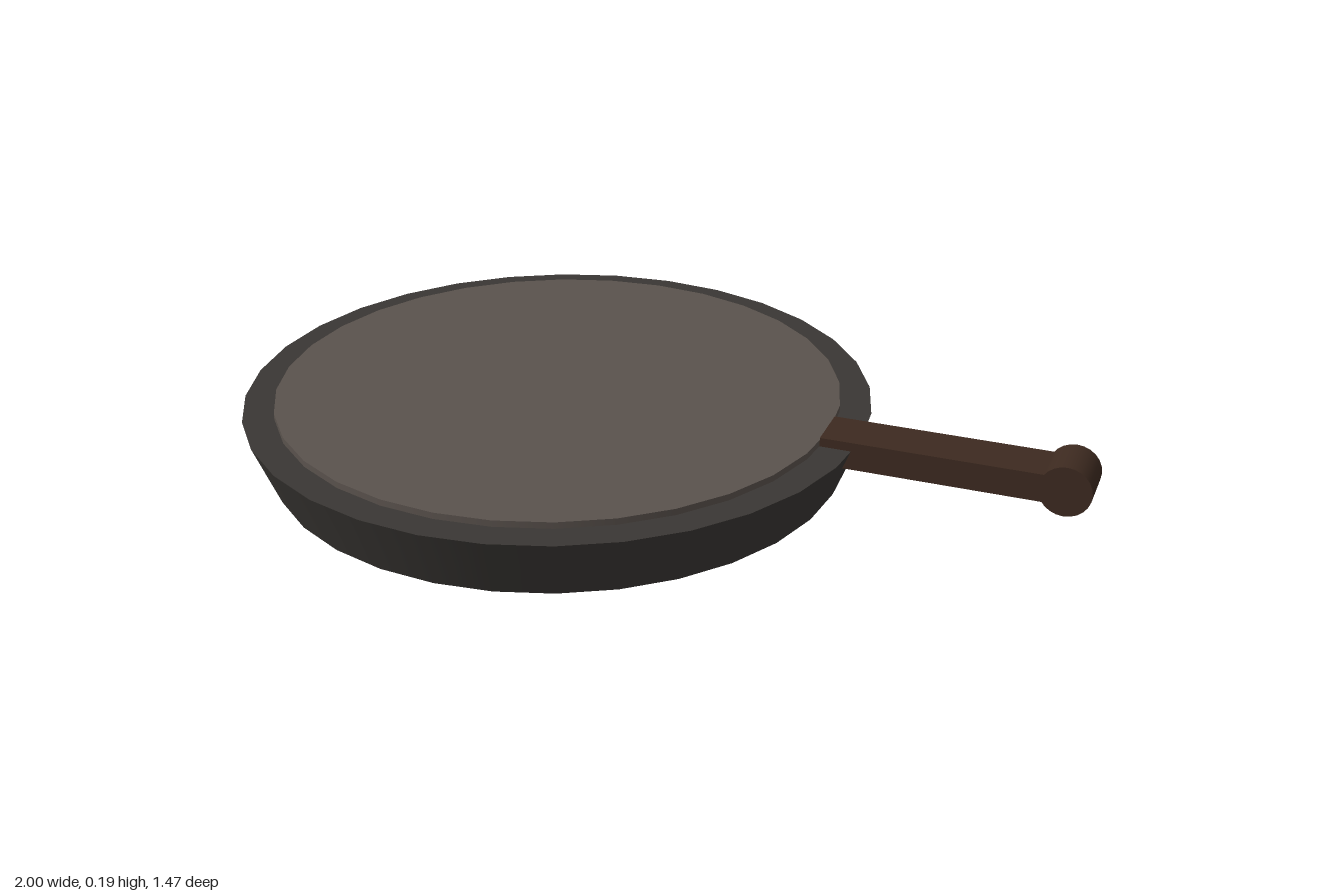
import * as THREE from 'three';

const PAN_X = -0.265;

export function createModel() {
  const group = new THREE.Group();
  const iron = new THREE.MeshStandardMaterial({ color: 0x3a3734 });
  const surface = new THREE.MeshStandardMaterial({ color: 0x5a524d });
  const wood = new THREE.MeshStandardMaterial({ color: 0x3d2a20 });

  const add = (name, geometry, material, x, y) => {
    const mesh = new THREE.Mesh(geometry, material);
    mesh.name = name;
    mesh.position.set(x, y, 0);
    group.add(mesh);
    return mesh;
  };

  // Flared pan body
  add('panBody', new THREE.CylinderGeometry(0.735, 0.676, 0.147, 32), iron, PAN_X, 0.0735);

  // Slightly raised cooking surface
  add('cookingSurface', new THREE.CylinderGeometry(0.662, 0.662, 0.03, 32), surface, PAN_X, 0.147);

  // Straight handle, overlapping the rim
  add('handle', new THREE.BoxGeometry(0.55, 0.066, 0.117), wood, 0.667, 0.135);

  // Round end of the handle, lying across it
  const knob = add('handleEnd', new THREE.CylinderGeometry(0.059, 0.059, 0.117, 24), wood, 0.941, 0.135);
  knob.rotation.x = Math.PI / 2;

  return group;
}
